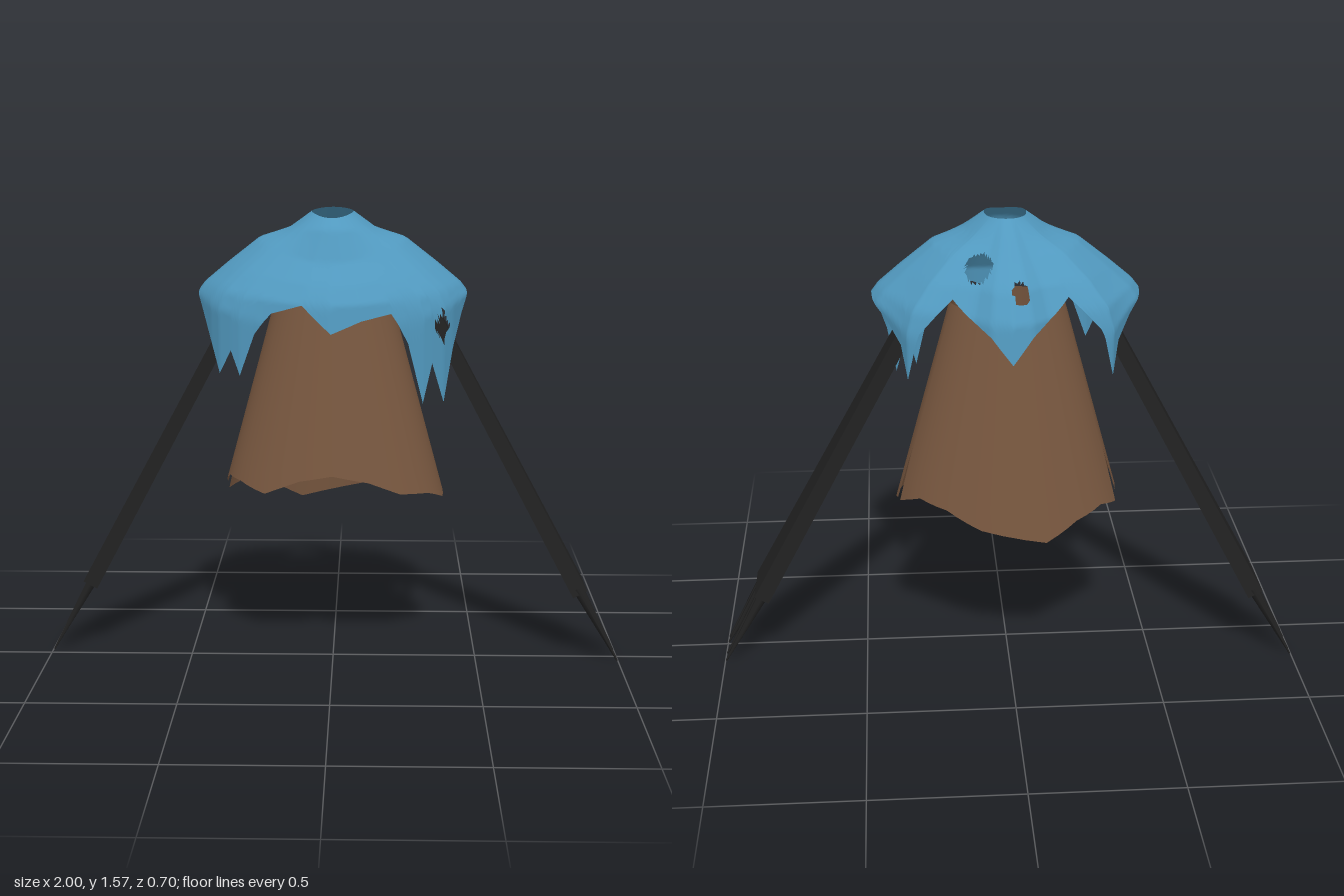
import * as THREE from 'three';

const lerp = THREE.MathUtils.lerp;

// Subdivide a closed list of keys, linearly
function subdivide(keys, n) {
  const out = [];
  keys.forEach((k, i) => {
    const next = keys[(i + 1) % keys.length];
    for (let s = 0; s < n; s++) out.push(k.map((v, c) => lerp(v, next[c], s / n)));
  });
  return out;
}

// Closed sheet from columns; at(column, t) gives a point, t = 0 top to 1 hem
function sheet(columns, rows, at, inHole = () => false) {
  const pts = [], index = [], n = columns.length;
  for (const c of columns) for (let j = 0; j <= rows; j++) pts.push(at(c, j / rows));
  const tri = (...ids) => {
    const mid = new THREE.Vector3();
    ids.forEach(i => mid.addScaledVector(pts[i], 1 / 3));
    if (!inHole(mid)) index.push(...ids);
  };
  for (let i = 0; i < n; i++) for (let j = 0; j < rows; j++) {
    const a = i * (rows + 1) + j, d = ((i + 1) % n) * (rows + 1) + j;
    tri(a, a + 1, d + 1);
    tri(a, d + 1, d);
  }
  const geo = new THREE.BufferGeometry().setFromPoints(pts);
  geo.setIndex(index);
  geo.computeVertexNormals();
  return geo;
}

// Ragged cape: outline x, z, hem height on the +x side, hem height on the -x side
const capeKeys = [
  [0, 0.35, 1.2, 1.2], [0.1, 0.335, 1.24, 1.29], [0.2, 0.3, 1.26, 1.26],
  [0.25, 0.28, 1.16, 1.19], [0.3, 0.26, 0.96, 1.05], [0.33, 0.24, 1.09, 1.13],
  [0.37, 0.21, 0.955, 1.05], [0.4, 0.17, 1.13, 1.15], [0.43, 0.11, 1.24, 1.24],
  [0.452, 0.06, 1.3, 1.3], [0.456, 0.02, 1.31, 1.31], [0.435, -0.06, 1.29, 1.29],
  [0.4, -0.12, 1.26, 1.26], [0.355, -0.2, 1.2, 1.2], [0.335, -0.235, 1.09, 1.09],
  [0.3, -0.25, 1.25, 1.25], [0.22, -0.27, 1.36, 1.36], [0.13, -0.29, 1.3, 1.3],
  [0.07, -0.34, 1.26, 1.26], [0, -0.355, 1.175, 1.175],
];
// Heights at each spread fraction for the front, sides and back
const spread = [0, 0.2, 0.45, 0.73, 0.93, 1];
const frontY = [1.555, 1.52, 1.415, 1.35, 1.29, 1.2];
const sideY = [1.57, 1.515, 1.485, 1.4, 1.335, 1.3];
const backY = [1.575, 1.53, 1.465, 1.395, 1.3, 1.175];

function capePoint([x, z, hem], t) {
  const a = Math.atan2(x / 0.455, z / 0.355), c = Math.cos(a), w = c * c;
  const ys = sideY.map((y, k) => lerp(y, (c > 0 ? frontY : backY)[k], w));
  const y = lerp(ys[0], hem, t);
  let f = 1;
  for (let k = 0; k < 5; k++) {
    if (y <= ys[k] && y > ys[k + 1]) f = lerp(spread[k], spread[k + 1], (ys[k] - y) / (ys[k] - ys[k + 1]));
  }
  return new THREE.Vector3(lerp(0.07 * Math.sin(a), x, f), y, lerp(0.045 + 0.105 * c, z, f));
}

// Torn holes: centre, horizontal radius, vertical radius
const holes = [
  [0.365, 1.21, 0.213, 0.038, 0.052],
  [0.1, 1.46, -0.18, 0.046, 0.3],
  [-0.03, 1.41, -0.272, 0.028, 0.3],
];
const torn = p => holes.some(([x, y, z, r, h]) => Math.hypot(p.x - x, p.z - z) / r + Math.abs(p.y - y) / h < 1);

// Robe hem: angle from the front toward +x in degrees, height
const robeKeys = [
  [0, 0.69], [20, 0.665], [38, 0.62], [60, 0.61], [80, 0.58], [97, 0.6], [100, 0.79], [103, 0.6],
  [125, 0.64], [145, 0.62], [165, 0.56], [197, 0.51], [215, 0.57], [235, 0.6], [254, 0.58],
  [257, 0.77], [260, 0.61], [282, 0.655], [300, 0.65], [322, 0.62], [342, 0.67], [360, 0.69],
];

function robePoint([deg, hem], t) {
  const a = THREE.MathUtils.degToRad(deg), y = lerp(1.3, hem, t), f = (1.3 - y) / 0.7;
  return new THREE.Vector3(
    lerp(0.19, 0.38, f) * Math.sin(a), y,
    lerp(-0.055, -0.05, f) + lerp(0.137, 0.235, f) * Math.cos(a));
}

// Flat flared arm ending in four pointed fingers
function makeArm(material) {
  const arm = new THREE.Group();
  const top = new THREE.Vector3(0.283, 1.32, 0), end = new THREE.Vector3(0.86, 0.245, 0);
  const up = new THREE.Vector3(0, 1, 0);
  const axis = top.clone().sub(end), length = axis.length();
  const geo = new THREE.BoxGeometry(1, length, 1);
  const p = geo.attributes.position;
  for (let i = 0; i < p.count; i++) {
    const high = p.getY(i) > 0, front = p.getZ(i) > 0;
    p.setX(i, p.getX(i) * (high ? 0.045 : 0.055));
    p.setZ(i, high ? (front ? -0.02 : -0.13) : (front ? 0.055 : -0.135));
  }
  geo.computeVertexNormals();
  const limb = new THREE.Mesh(geo, material);
  limb.name = 'limb';
  limb.position.copy(top).add(end).multiplyScalar(0.5);
  limb.quaternion.setFromUnitVectors(up, axis.normalize());
  arm.add(limb);

  [[0.038, 0.05], [-0.005, 0.014], [-0.07, -0.07], [-0.115, -0.12]].forEach(([z0, z1]) => {
    const from = new THREE.Vector3(0.85, 0.265, z0), to = new THREE.Vector3(0.997, 0.003, z1);
    const dir = from.clone().sub(to);
    const finger = new THREE.Mesh(new THREE.CylinderGeometry(0.02, 0.003, dir.length(), 6), material);
    finger.name = 'finger';
    finger.position.copy(from).add(to).multiplyScalar(0.5);
    finger.quaternion.setFromUnitVectors(up, dir.normalize());
    arm.add(finger);
  });
  return arm;
}

export function createModel() {
  const mat = (name, color, side = THREE.FrontSide) => {
    const m = new THREE.MeshStandardMaterial({ color, side });
    m.name = name;
    return m;
  };
  const blue = mat('blue cloth', 0x5199bf, THREE.DoubleSide);
  const brown = mat('brown cloth', 0x795840, THREE.DoubleSide);
  const black = mat('black', 0x222222);
  const model = new THREE.Group();

  // Cape with torn hem, holes and neck opening
  const rightHalf = capeKeys.map(([x, z, h]) => [x, z, h]);
  const leftHalf = capeKeys.slice(1, -1).reverse().map(([x, z, , h]) => [-x, z, h]);
  const cape = new THREE.Mesh(sheet(subdivide([...rightHalf, ...leftHalf], 5), 32, capePoint, torn), blue);
  cape.name = 'cape';

  // Open robe with slit sides; the last key closes the ring
  const robeColumns = subdivide(robeKeys, 3).slice(0, -3);
  const robe = new THREE.Mesh(sheet(robeColumns, 10, robePoint), brown);
  robe.name = 'robe';

  // Arms are the same part turned half way round
  const leftArm = makeArm(black);
  leftArm.name = 'leftArm';
  const rightArm = makeArm(black);
  rightArm.name = 'rightArm';
  rightArm.rotation.y = Math.PI;
  rightArm.position.z = -0.156;

  model.add(cape, robe, leftArm, rightArm);
  return model;
}
